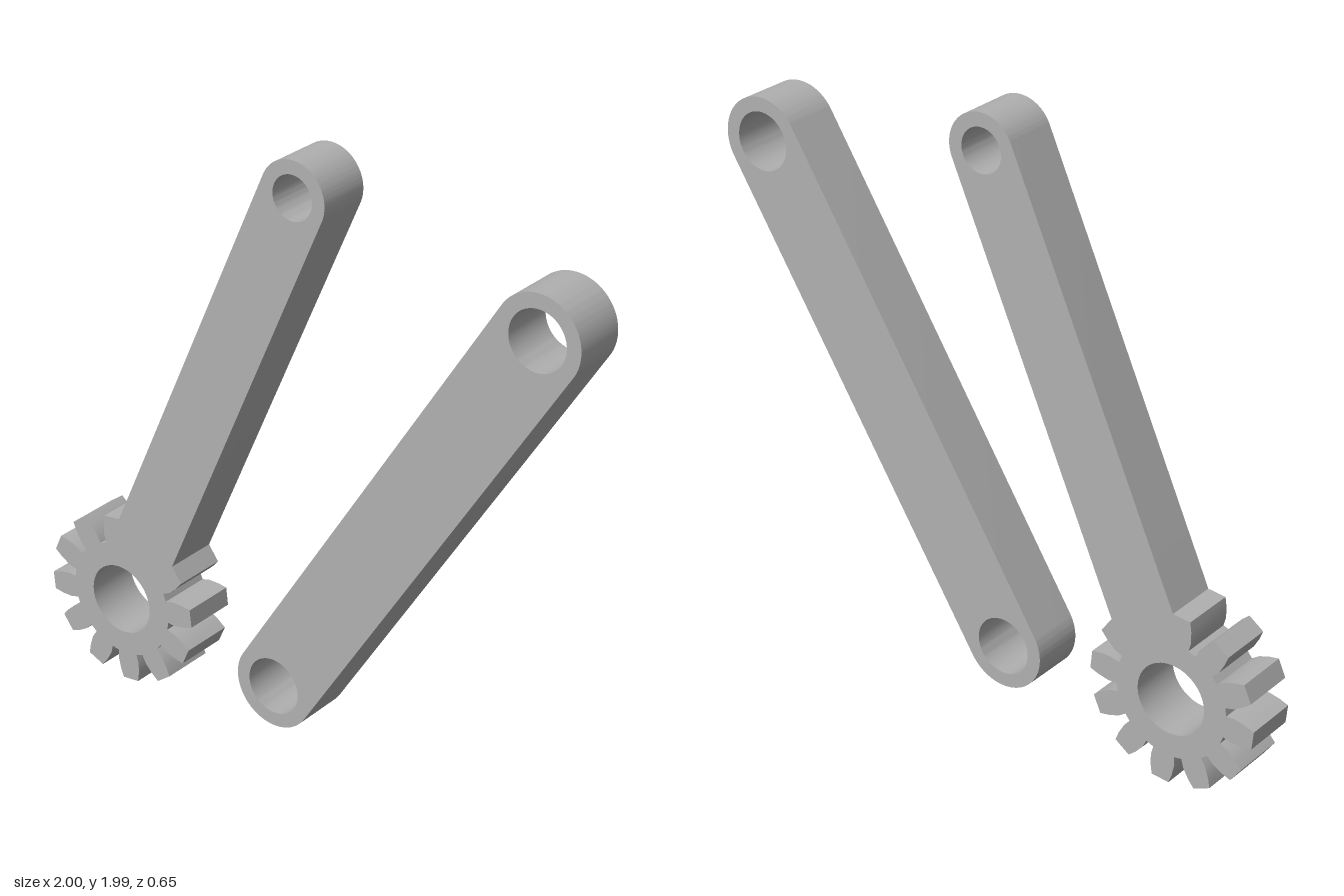
import * as THREE from 'three';
import { toCreasedNormals } from 'three/addons/utils/BufferGeometryUtils.js';

const THICKNESS = 0.185;

function addHole(shape, x, radius) {
  const hole = new THREE.Path();
  hole.absarc(x, 0, radius, 0, Math.PI * 2, true);
  shape.holes.push(hole);
}

// Plain link: a slot outline from the origin along +x, with a hole at each end
function linkShape(length, radius, holeRadius) {
  const s = new THREE.Shape();
  s.absarc(length, 0, radius, -Math.PI / 2, Math.PI / 2, false);
  s.absarc(0, 0, radius, Math.PI / 2, Math.PI * 1.5, false);
  s.closePath();
  addHole(s, 0, holeRadius);
  addHole(s, length, holeRadius);
  return s;
}

// Gear arm: twelve-tooth gear at the origin, one tooth replaced by an arm along +x
function gearArmShape(length, radius, gearHole, endHole) {
  const teeth = 12;
  // half of a tooth: distance from gear centre, half width
  const flank = [[0.195, 0.038], [0.225, 0.043], [0.262, 0.039], [0.294, 0.031]];
  const tooth = [
    ...flank.map(([r, h]) => [r, -h]),
    ...flank.slice().reverse(),
  ];
  const s = new THREE.Shape();
  s.absarc(length, 0, radius, -Math.PI / 2, Math.PI / 2, false);
  for (let k = 1; k < teeth; k++) {
    const a = (k / teeth) * Math.PI * 2;
    let pts = tooth;
    if (k === 1) pts = tooth.slice(3);                // flank hidden by the arm
    if (k === teeth - 1) pts = tooth.slice(0, 5);
    for (const [r, t] of pts) {
      s.lineTo(r * Math.cos(a) - t * Math.sin(a), r * Math.sin(a) + t * Math.cos(a));
    }
  }
  s.closePath();
  addHole(s, 0, gearHole);
  addHole(s, length, endHole);
  return s;
}

function plate(name, shape, material, x, y, back, angle) {
  const extruded = new THREE.ExtrudeGeometry(shape, {
    depth: THICKNESS, bevelEnabled: false, curveSegments: 32,
  });
  const mesh = new THREE.Mesh(toCreasedNormals(extruded, 0.45), material);
  mesh.name = name;
  mesh.position.set(x, y, back);
  mesh.rotation.z = angle;
  return mesh;
}

export function createModel() {
  const grey = new THREE.MeshStandardMaterial({ color: 0xb0b0b0 });
  grey.name = 'grey';

  const group = new THREE.Group();
  group.name = 'linkageArms';
  group.add(
    plate('gearArm', gearArmShape(1.732, 0.117, 0.12, 0.072), grey,
      -0.718, 0.294, -0.11, Math.atan2(1.58, 0.709)),
    plate('plainLink', linkShape(1.73, 0.143, 0.096), grey,
      -0.068, 0.222, -0.083, Math.atan2(1.459, 0.93)),
  );
  // both arms stand in upright planes turned about the vertical
  group.rotation.y = -0.2235;
  return group;
}
